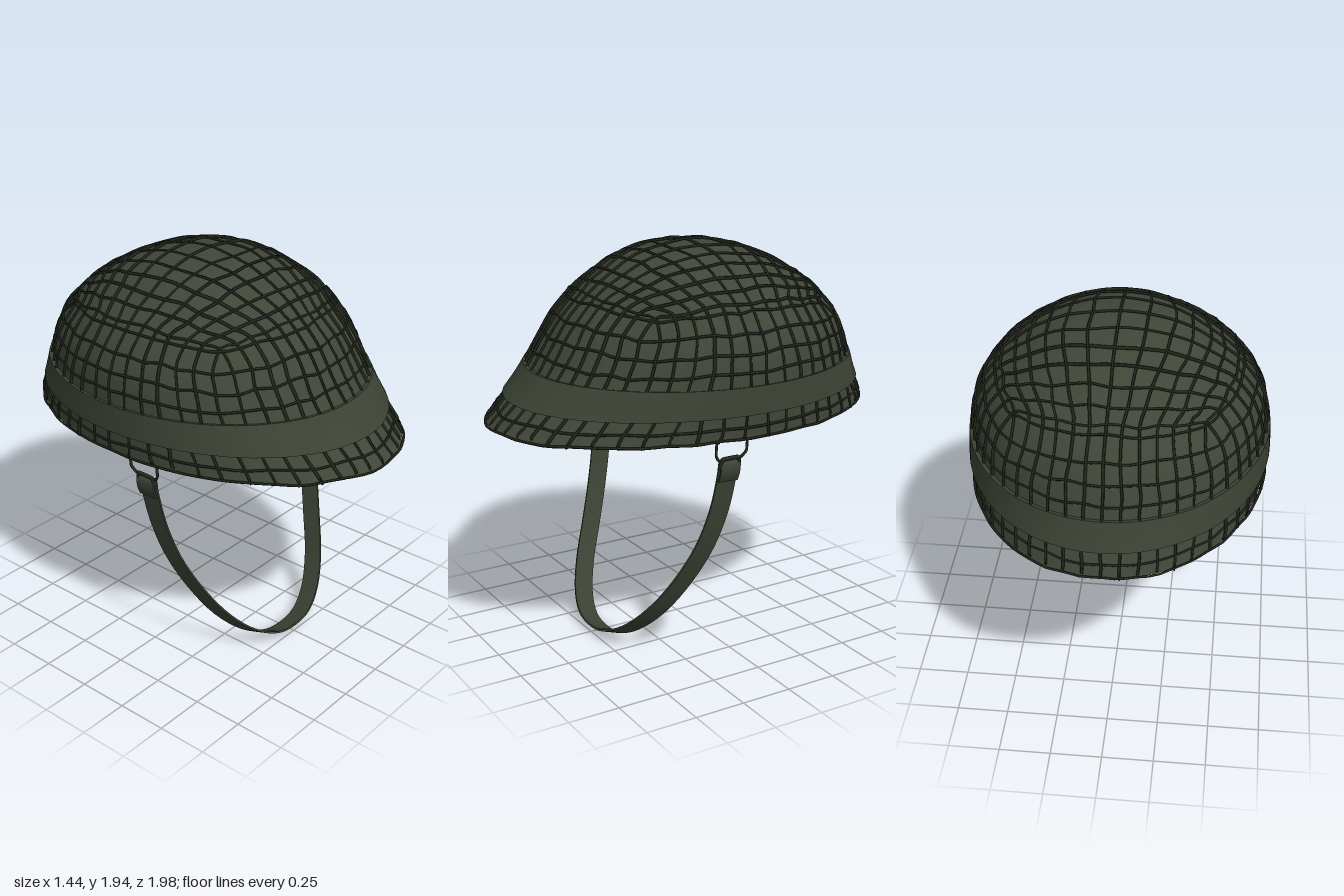
import * as THREE from 'three';
import { mergeGeometries, toCreasedNormals } from 'three/addons/utils/BufferGeometryUtils.js';

const V = (x, y, z) => new THREE.Vector3(x, y, z);
const TAU = Math.PI * 2;
const CZ = -0.06; // dome axis

// Dome profile from apex to rim: height, half width, front reach, back reach
const PROFILE = [
  [1.925, 0, 0, 0], [1.9, 0.2, 0.2, 0.21], [1.85, 0.34, 0.33, 0.36], [1.78, 0.45, 0.45, 0.5],
  [1.7, 0.55, 0.55, 0.62], [1.6, 0.63, 0.645, 0.72], [1.5, 0.675, 0.715, 0.775], [1.4, 0.69, 0.78, 0.81],
  [1.3, 0.695, 0.86, 0.845], [1.2, 0.695, 0.96, 0.89], [1.13, 0.695, 1.035, 0.925],
];
const reach = new THREE.CatmullRomCurve3(PROFILE.map(p => V(p[1], p[2], p[3])), false, 'catmullrom', 0.5);
const height = new THREE.CatmullRomCurve3(PROFILE.map(p => V(0, p[0], 0)), false, 'catmullrom', 0.5);

// Point on the dome at angle a (0 = front), t from apex (0) to rim (1), pushed out by o
function dome(a, t, o = 0) {
  t = Math.min(Math.max(t, 0), 1);
  const r = reach.getPoint(t), c = Math.cos(a);
  const p = V(Math.sin(a) * r.x, height.getPoint(t).y, CZ + c * (c > 0 ? r.y : r.z));
  const out = V(p.x, Math.max(p.y - 1.2, 0), p.z - CZ).normalize();
  return p.addScaledVector(out, o);
}

// Surface that wraps round in u (nu columns) and runs open along v (nv + 1 rows)
function wrapGrid(nu, nv, point) {
  const pos = [], idx = [];
  for (let j = 0; j <= nv; j++) for (let i = 0; i < nu; i++) pos.push(...point(i, j).toArray());
  for (let j = 0; j < nv; j++) for (let i = 0; i < nu; i++) {
    const k = (i + 1) % nu, a = j * nu + i, b = a + nu, c = j * nu + k, d = c + nu;
    idx.push(a, b, c, c, b, d);
  }
  const g = new THREE.BufferGeometry();
  g.setAttribute('position', new THREE.Float32BufferAttribute(pos, 3));
  g.setIndex(idx);
  g.computeVertexNormals();
  return g;
}

// Flat strap with a rectangular section swept along a curve
function ribbon(curve, width, thick, steps, widthDir) {
  const corners = [[1, -1], [-1, -1], [-1, 1], [1, 1]];
  return toCreasedNormals(wrapGrid(4, steps, (i, j) => {
    const p = curve.getPoint(j / steps), w = widthDir(p);
    const n = curve.getTangent(j / steps).cross(w).normalize();
    return p.addScaledVector(w, corners[i][0] * width / 2).addScaledVector(n, corners[i][1] * thick / 2);
  }), 0.7);
}

function cord(points, radius, closed = false, per = 2) {
  const curve = new THREE.CatmullRomCurve3(points, closed, 'catmullrom', 0.4);
  return new THREE.TubeGeometry(curve, points.length * per, radius, 4, closed);
}

function wire(points, radius, closed) {
  const curve = new THREE.CatmullRomCurve3(points, closed, 'catmullrom', 0.08);
  return new THREE.TubeGeometry(curve, 48, radius, 6, closed);
}

let seed = 7;
const rand = () => (seed = (seed * 16807) % 2147483647) / 2147483647;
const jit = s => (rand() - 0.5) * s;

// Net: a square weave on the crown whose cords run on down the sides, plus side rows
function buildNet() {
  const parts = [], N = 6, T0 = 0.42, SIDE = 8;
  const crown = (a, b) => { // square patch bent to a rounded square
    const x = a * Math.sqrt(1 - b * b * 0.42), z = b * Math.sqrt(1 - a * a * 0.42);
    return [Math.atan2(x, z), Math.hypot(x, z) * T0];
  };
  const knot = (ang, t) => dome(ang + jit(0.016), t + jit(0.014), 0.004 + rand() * 0.007);
  const sideDrop = (a, b) => { // from the rim fold up to the crown edge
    const [ang, t] = crown(a, b), pts = [];
    pts.push(dome(ang, 0.9 + rand() * 0.07, -0.022), dome(ang, 0.985, -0.026));
    for (let k = 0; k < SIDE; k++) pts.push(knot(ang, 1 + (t - 1) * k / SIDE));
    return pts;
  };
  for (const swap of [false, true]) for (let i = -N; i <= N; i++) {
    const a = i / (N + 0.5), at = b => (swap ? [b, a] : [a, b]);
    const pts = sideDrop(...at(-1));
    for (let k = -N; k <= N; k++) pts.push(knot(...crown(...at(k / (N + 0.5)))));
    pts.push(...sideDrop(...at(1)).reverse());
    parts.push(cord(pts, 0.0062 + rand() * 0.002));
  }
  for (let k = 0; k < SIDE; k++) { // rows round the sides
    const pts = [];
    for (let e = 0; e < 4; e++) for (let i = -N; i <= N; i++) {
      const [ang, t] = crown(i / (N + 0.5), 1);
      pts.push(knot(ang + e * Math.PI / 2, t + (0.995 - t) * k / (SIDE - 1)));
    }
    parts.push(cord(pts, 0.0065, true));
  }
  for (const t of [0.93, 0.985]) { // rows folded inside the rim
    const pts = [];
    for (let i = 0; i < 56; i++) pts.push(dome(i / 56 * TAU, t + jit(0.015), -0.022));
    parts.push(cord(pts, 0.006, true));
  }
  return mergeGeometries(parts);
}

export function createModel() {
  const group = new THREE.Group();
  const mat = (name, color, side = THREE.FrontSide) => {
    const m = new THREE.MeshStandardMaterial({ color, side });
    m.name = name;
    return m;
  };
  const olive = mat('olive shell', 0x3f4638);
  const netMat = mat('dark net cord', 0x22261d);
  const webbing = mat('olive webbing', 0x3b4234);
  const metal = mat('dark metal', 0x282b24);
  const add = (name, geo, m, parent = group) => {
    const mesh = new THREE.Mesh(geo, m);
    mesh.name = name;
    parent.add(mesh);
    return mesh;
  };

  // Shell: outside, inside and rim edge
  const SEG = 56, ROWS = 24;
  const ang = i => i / SEG * TAU;
  add('shellOutside', wrapGrid(SEG, ROWS, (i, j) => dome(ang(i), j / ROWS)), olive);
  add('shellInside', wrapGrid(SEG, ROWS, (i, j) => dome(ang(i), 1 - j / ROWS, -0.018)), olive);
  add('shellRim', wrapGrid(SEG, 1, (i, j) => dome(ang(i), 1, j * -0.018)), olive);

  add('net', buildNet(), netMat);

  // Elastic band round the shell
  const bandRows = [[0.73, 0], [0.73, 0.021], [0.79, 0.022], [0.855, 0.024], [0.855, 0]];
  add('band', toCreasedNormals(wrapGrid(SEG, 4, (i, j) => dome(ang(i), ...bandRows[j])), 0.7), webbing);

  // Chin strap: folded over each buckle and hanging forward
  const half = [
    [0.622, 0.92, 0.1], [0.64, 0.965, 0.1], [0.636, 1.01, 0.095], [0.622, 1.015, 0.095], [0.614, 0.95, 0.1],
    [0.585, 0.77, 0.122], [0.54, 0.58, 0.172], [0.465, 0.39, 0.25], [0.37, 0.225, 0.338],
    [0.25, 0.105, 0.41], [0.125, 0.042, 0.45],
  ];
  const path = [...half, [0, 0.024, 0.457], ...half.map(([x, y, z]) => [-x, y, z]).reverse()];
  const strap = new THREE.CatmullRomCurve3(path.map(p => V(...p)));
  const tilt = p => {
    const a = 0.33 * Math.min(Math.max((1 - p.y) * 1.3, 0), 1);
    return V(0, Math.sin(a), Math.cos(a));
  };
  add('chinStrap', ribbon(strap, 0.104, 0.009, 88, tilt), webbing);

  // Wire hanger and buckle on each side
  for (const s of [1, -1]) {
    const side = new THREE.Group();
    side.name = s > 0 ? 'leftFitting' : 'rightFitting';
    add('hanger', wire([
      V(s * 0.655, 1.17, 0.18), V(s * 0.645, 1.06, 0.18), V(s * 0.637, 1.03, 0.16),
      V(s * 0.637, 1.03, 0.04), V(s * 0.645, 1.06, 0.015), V(s * 0.655, 1.17, 0.015),
    ], 0.007, false), metal, side);
    add('buckle', wire([
      V(s * 0.641, 1.035, 0.14), V(s * 0.629, 0.985, 0.15),
      V(s * 0.629, 0.985, 0.045), V(s * 0.641, 1.035, 0.055),
    ], 0.009, true), metal, side);
    group.add(side);
  }
  return group;
}
